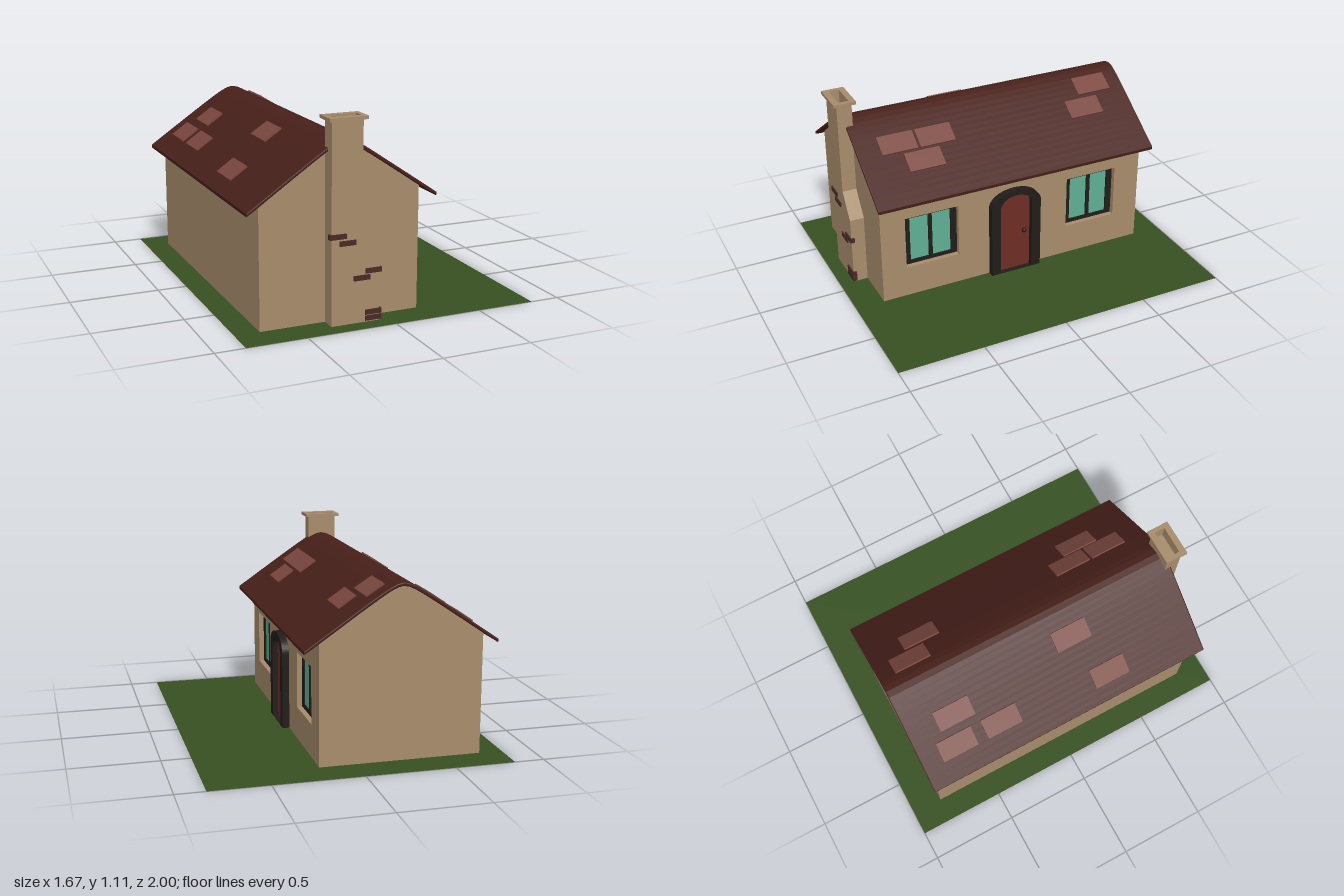
import * as THREE from 'three';

const mat = (color, side = THREE.FrontSide) => new THREE.MeshStandardMaterial({ color, side });
const WALL = mat(0xa78c6b), ROOF = mat(0x48201a), TILE = mat(0x7a473f), BRICK = mat(0x482a26);
const DARK = mat(0x201c1a), GLASS = mat(0x5fb096), DOOR = mat(0x6e2d25);
const GRASS = mat(0x365020, THREE.DoubleSide);

const RIDGE = -0.24, EAVE = 0.53;
// Height of the roof's upper surface: two slopes with a rounded ridge
const roofY = (x) => 1.02 - 0.69 * Math.hypot(x - RIDGE, 0.05);

const poly = (pts) => new THREE.Shape(pts.map(([x, y]) => new THREE.Vector2(x, y)));

// Points along the roof curve from x0 to x1, lowered by d
function roofLine(x0, x1, d, n = 32) {
  return Array.from({ length: n + 1 }, (_, i) => {
    const x = x0 + ((x1 - x0) * i) / n;
    return [x, roofY(x) - d];
  });
}

function rect(cx, cy, w, h) {
  return poly([[cx - w / 2, cy - h / 2], [cx + w / 2, cy - h / 2], [cx + w / 2, cy + h / 2], [cx - w / 2, cy + h / 2]]);
}

// Arched outline standing on y = y0
function arch(cx, half, y0, spring, rise) {
  const pts = [[cx - half, y0], [cx + half, y0]];
  for (let i = 0; i <= 24; i++) {
    const a = (Math.PI * i) / 24;
    pts.push([cx + half * Math.cos(a), spring + rise * Math.sin(a)]);
  }
  return pts;
}

export function createModel() {
  const model = new THREE.Group();

  function add(name, geometry, material, x = 0, y = 0, z = 0, parent = model) {
    const mesh = new THREE.Mesh(geometry, material);
    mesh.name = name;
    mesh.position.set(x, y, z);
    parent.add(mesh);
    return mesh;
  }
  const box = (name, material, w, h, d, x, y, z, parent) =>
    add(name, new THREE.BoxGeometry(w, h, d), material, x, y, z, parent);
  // Extrude along z from z0 to z1
  const alongZ = (name, shape, z0, z1, material) =>
    add(name, new THREE.ExtrudeGeometry(shape, { depth: z1 - z0, bevelEnabled: false }), material, 0, 0, z0);
  // Extrude along x; the shape's horizontal axis is -z
  const alongX = (name, shape, x0, x1, material, parent) =>
    add(name, new THREE.ExtrudeGeometry(shape, { depth: x1 - x0, bevelEnabled: false }).rotateY(Math.PI / 2),
      material, x0, 0, 0, parent);

  // Lawn
  add('ground', new THREE.PlaneGeometry(1.67, 2).rotateX(-Math.PI / 2), GRASS);

  // House body with gables, notched where the window wall sits
  alongZ('houseBody', poly([
    [-0.70, 0.004], [0.165, 0.004], [0.165, 0.6], [0.205, 0.6],
    ...roofLine(0.205, -0.70, 0.015),
  ]), -0.825, 0.835, WALL);

  // Entrance wall with two window openings
  const windows = [0.525, -0.498];
  const wall = poly([[-0.835, 0.004], [0.825, 0.004], [0.825, 0.6], [-0.835, 0.6]]);
  windows.forEach((z) => wall.holes.push(rect(-z, 0.35, 0.325, 0.32)));
  alongX('entranceWall', wall, 0.165, 0.205, WALL);

  // Recessed windows: frame, mullion and panes
  windows.forEach((z) => {
    const group = new THREE.Group();
    group.name = 'window';
    model.add(group);
    const frame = rect(-z, 0.35, 0.325, 0.32);
    for (const s of [-1, 1]) frame.holes.push(rect(-z + s * 0.068, 0.35, 0.113, 0.276));
    alongX('windowFrame', frame, 0.155, 0.175, DARK, group);
    box('windowPanes', GLASS, 0.01, 0.28, 0.28, 0.162, 0.35, z, group);
  });

  // Arched door, surround and knob
  const surround = poly(arch(-0.0135, 0.157, 0.004, 0.45, 0.095));
  surround.holes.push(poly(arch(-0.0135, 0.1, 0.0045, 0.44, 0.073)));
  alongX('doorSurround', surround, 0.2, 0.245, DARK);
  alongX('door', poly(arch(-0.0135, 0.105, 0.005, 0.44, 0.075)), 0.195, 0.213, DOOR);
  add('doorKnob', new THREE.SphereGeometry(0.014, 16, 12), DARK, 0.222, 0.25, -0.048);

  // Roof shell with softly rounded edges
  const b = 0.006;
  const roofShape = poly([
    ...roofLine(RIDGE - EAVE, RIDGE + EAVE, 0.02 - b),
    ...roofLine(RIDGE + EAVE, RIDGE - EAVE, b),
  ]);
  add('roof', new THREE.ExtrudeGeometry(roofShape, {
    depth: 1.73 - 2 * b, bevelThickness: b, bevelSize: b, bevelSegments: 2,
  }), ROOF, 0, 0, -0.86 + b);

  // Loose roof tiles, as [x, z] centres on the slopes
  const tiles = [
    [-0.618, -0.637], [-0.48, -0.582], [-0.618, -0.362], [-0.405, 0.188], [-0.648, 0.307],
    [-0.115, -0.657], [0.005, -0.548], [-0.02, 0.4], [0.092, 0.51], [-0.02, 0.628],
  ];
  tiles.forEach(([x, z]) => {
    const angle = Math.atan((roofY(x + 0.04) - roofY(x - 0.04)) / 0.08);
    const tile = box('roofTile', TILE, 0.118, 0.02, 0.213, x, roofY(x), z);
    tile.rotation.z = angle;
  });

  // Chimney stack with one sloped shoulder, then a hollow flue and cap
  alongZ('chimneyStack', poly([
    [-0.335, 0.004], [-0.06, 0.004], [-0.06, 0.415], [-0.16, 0.555], [-0.16, 1.02], [-0.335, 1.02],
  ]), 0.83, 0.918, WALL);
  const ring = (name, w, d, y0, y1) => {
    const shape = rect(0, 0, w, d);
    shape.holes.push(rect(0, 0, 0.16, 0.06));
    add(name, new THREE.ExtrudeGeometry(shape, { depth: y1 - y0, bevelEnabled: false }).rotateX(-Math.PI / 2),
      WALL, -0.2475, y0, 0.874);
  };
  ring('chimneyFlue', 0.175, 0.088, 1.02, 1.09);
  ring('chimneyCap', 0.213, 0.13, 1.09, 1.108);

  // Exposed bricks on the chimney, as [x, y] centres
  const bricks = [
    [-0.3, 0.487], [-0.245, 0.448], [-0.097, 0.285], [-0.163, 0.251], [-0.097, 0.058], [-0.097, 0.025],
  ];
  bricks.forEach(([x, y]) => box('chimneyBrick', BRICK, 0.093, 0.027, 0.025, x, y, 0.913));

  return model;
}
